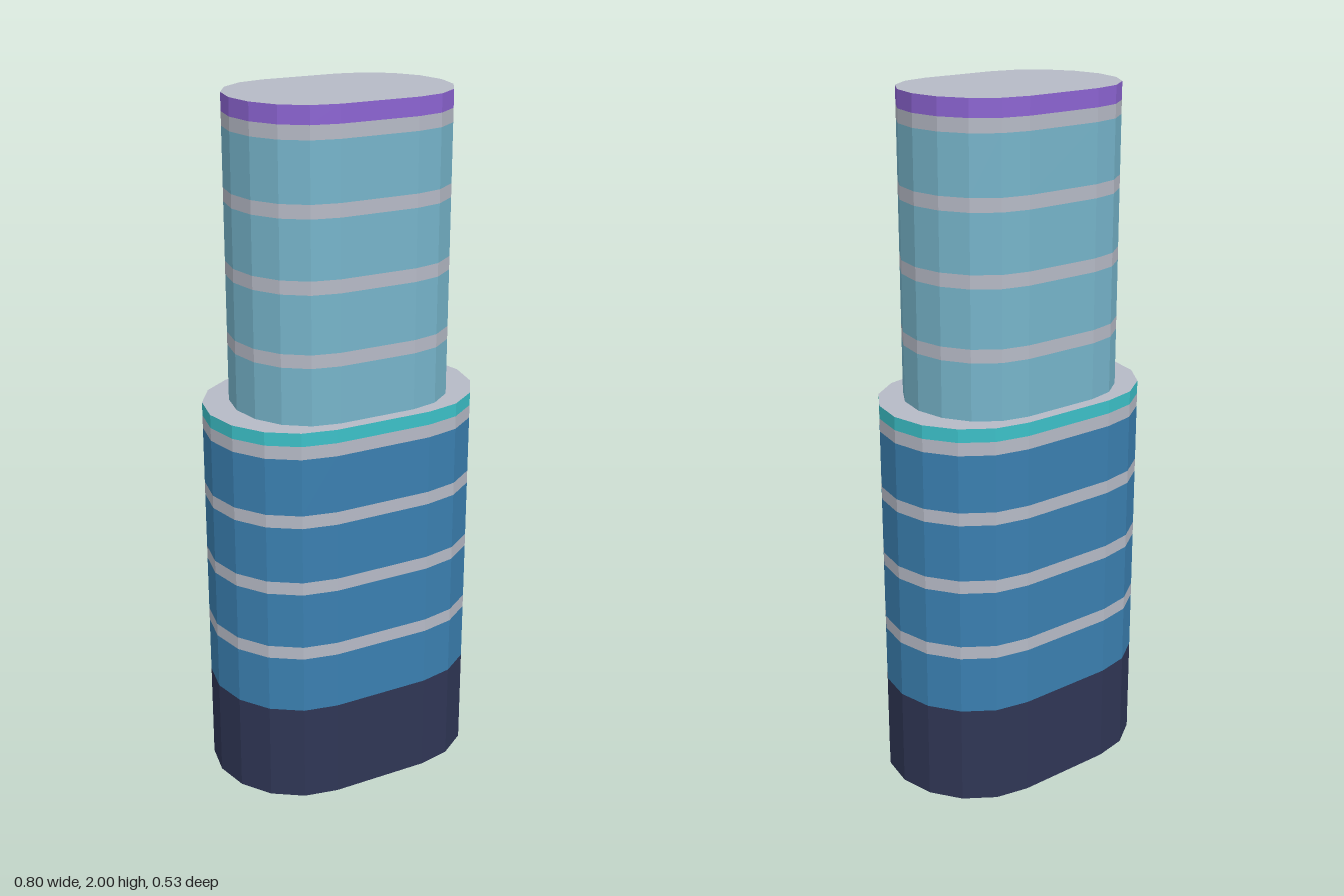
import * as THREE from 'three';

const mat = (name, color) => {
  const m = new THREE.MeshStandardMaterial({ color });
  m.name = name;
  return m;
};

// Stadium-like plan: two eight-sided half ellipses joined by straight sides
function outline(centre, rx, rz) {
  const pts = [];
  for (const side of [1, -1]) {
    for (let i = 0; i <= 8; i++) {
      const a = -Math.PI / 2 + (i * Math.PI) / 8;
      pts.push(new THREE.Vector2(side * (centre + rx * Math.cos(a)), side * rz * Math.sin(a)));
    }
  }
  return pts;
}

// Faceted open wall following the plan between two heights
function wall(pts, y0, y1) {
  const pos = [];
  pts.forEach((p, i) => {
    const q = pts[(i + 1) % pts.length];
    const a = [p.x, y0, -p.y], b = [q.x, y0, -q.y];
    const c = [q.x, y1, -q.y], d = [p.x, y1, -p.y];
    pos.push(...a, ...b, ...c, ...a, ...c, ...d);
  });
  const g = new THREE.BufferGeometry();
  g.setAttribute('position', new THREE.Float32BufferAttribute(pos, 3));
  g.computeVertexNormals();
  return g;
}

// Horizontal cap, facing up or down, with an optional opening
function cap(pts, y, up = true, hole = null) {
  const shape = new THREE.Shape(pts);
  if (hole) shape.holes.push(new THREE.Path(hole));
  return new THREE.ShapeGeometry(shape).rotateX(up ? -Math.PI / 2 : Math.PI / 2).translate(0, y, 0);
}

export function createModel() {
  const model = new THREE.Group();
  model.name = 'tower';
  const navy = mat('navy base', 0x2f3655);
  const blue = mat('blue glass', 0x3a7fb0);
  const pale = mat('pale glass', 0x76b4ca);
  const grey = mat('grey slab', 0xb6bac6);
  const teal = mat('teal trim', 0x3cc0c8);
  const purple = mat('purple trim', 0x8c64d2);

  const add = (parent, name, geometry, material) => {
    const mesh = new THREE.Mesh(geometry, material);
    mesh.name = name;
    parent.add(mesh);
  };

  // Four glazed storeys, each finished by a slab band, then a coloured trim
  const band = 0.038;
  function tier(name, pts, start, firstTop, step, top, glass, trim) {
    const group = new THREE.Group();
    group.name = name;
    let y = start;
    for (let i = 0; i < 4; i++) {
      const bandTop = firstTop + i * step;
      add(group, 'glazing', wall(pts, y, bandTop - band), glass);
      add(group, 'slabBand', wall(pts, bandTop - band, bandTop), grey);
      y = bandTop;
    }
    add(group, 'roofTrim', wall(pts, y, top), trim);
    model.add(group);
    return group;
  }

  const wide = outline(0.145, 0.255, 0.263);
  const narrow = outline(0.115, 0.205, 0.226);

  // Base
  add(model, 'base', wall(wide, 0, 0.29), navy);
  add(model, 'baseUnderside', cap(wide, 0, false), navy);

  // Lower tier with its terrace, and the narrower upper tier with its roof
  const lower = tier('lowerTier', wide, 0.29, 0.496, 0.2035, 1.145, blue, teal);
  add(lower, 'terrace', cap(wide, 1.145, true, narrow), grey);
  const upper = tier('upperTier', narrow, 1.145, 1.346, 0.2015, 2, pale, purple);
  add(upper, 'roof', cap(narrow, 2), grey);

  return model;
}
